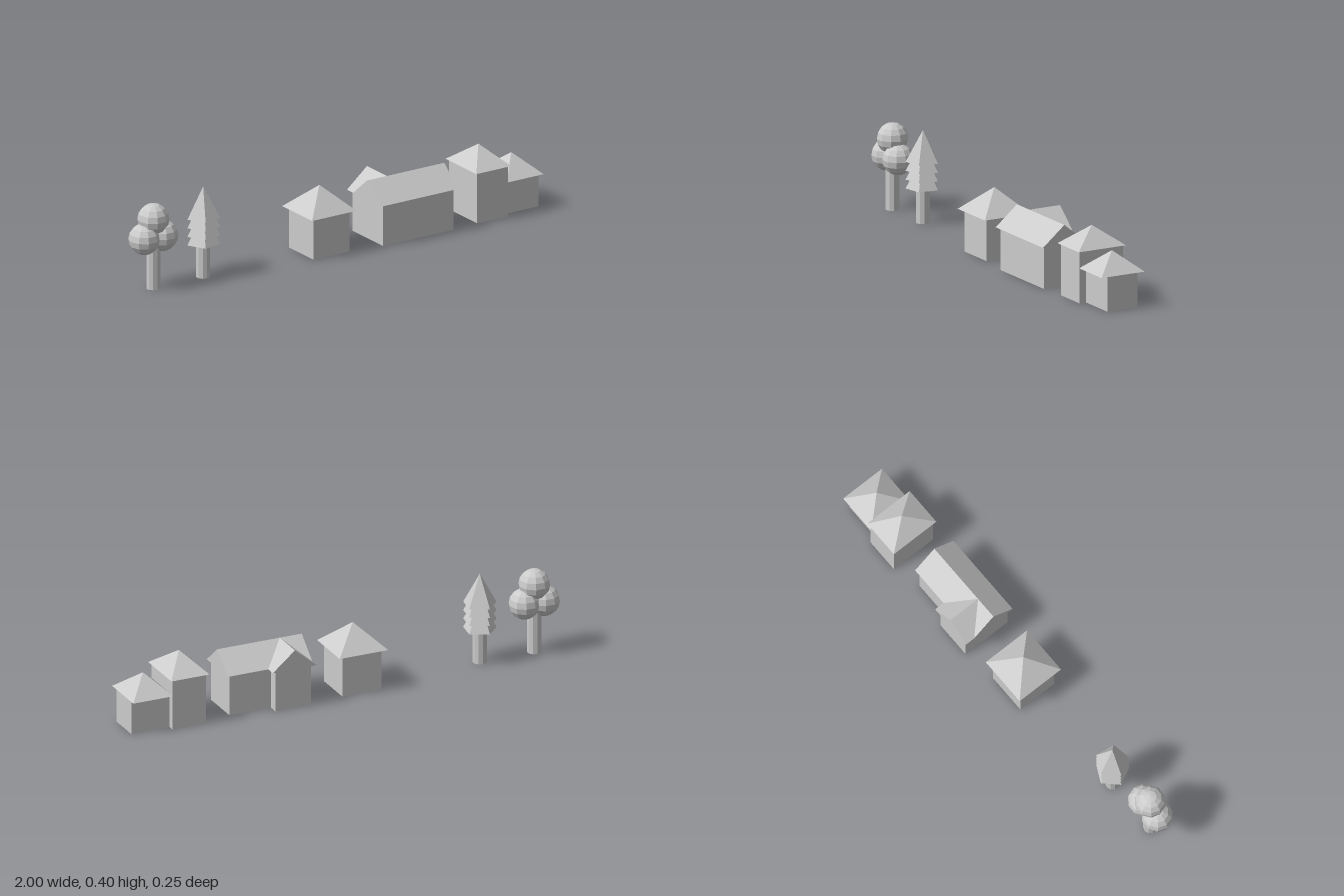
import * as THREE from 'three';

const material = new THREE.MeshStandardMaterial({ color: 0xcccccc, flatShading: true });

function add(parent, name, geometry, x = 0, y = 0, z = 0) {
  const mesh = new THREE.Mesh(geometry, material);
  mesh.name = name;
  mesh.position.set(x, y, z);
  parent.add(mesh);
  return mesh;
}

function section(parent, name, x = 0) {
  const group = new THREE.Group();
  group.name = name;
  group.position.x = x;
  parent.add(group);
  return group;
}

// Box given by its footprint, standing on the ground
function walls(parent, name, x0, x1, z0, z1, height) {
  add(parent, name, new THREE.BoxGeometry(x1 - x0, height, z1 - z0),
    (x0 + x1) / 2, height / 2, (z0 + z1) / 2);
}

// Four-sided pyramid roof
function pyramidRoof(parent, name, x0, x1, depth, eave, apex) {
  const geometry = new THREE.ConeGeometry(Math.SQRT1_2, apex - eave, 4).rotateY(Math.PI / 4);
  geometry.scale(x1 - x0, 1, depth);
  add(parent, name, geometry, (x0 + x1) / 2, (eave + apex) / 2, 0);
}

// Closed triangular prism with its ridge along z, starting at z = 0
function gable(span, rise, length) {
  const shape = new THREE.Shape();
  shape.moveTo(-span / 2, 0);
  shape.lineTo(span / 2, 0);
  shape.lineTo(0, rise);
  shape.closePath();
  return new THREE.ExtrudeGeometry(shape, { depth: length, bevelEnabled: false });
}

function trunk(parent, height) {
  add(parent, 'trunk', new THREE.CylinderGeometry(0.03, 0.03, height, 10), 0, height / 2, 0);
}

export function createModel() {
  const model = new THREE.Group();
  model.name = 'village';

  // Round tree: three faceted balls of leaves
  const roundTree = section(model, 'roundTree', -0.889);
  trunk(roundTree, 0.25);
  for (const [x, y] of [[-0.045, 0.225], [0.045, 0.225], [0, 0.305]]) {
    add(roundTree, 'foliageBall', new THREE.SphereGeometry(0.067, 10, 8), x, y, 0);
  }

  // Pine: identical five-sided cones stacked with overlap
  const pine = section(model, 'pineTree', -0.639);
  trunk(pine, 0.2);
  const coneHeight = 0.136;
  for (let i = 0; i < 4; i++) {
    const cone = new THREE.ConeGeometry(0.073, coneHeight, 5).rotateY(46 * Math.PI / 180);
    add(pine, 'foliageCone', cone, 0, 0.148 + i * 0.038 + coneHeight / 2, 0);
  }

  // Small square house
  const cottage = section(model, 'squareHouse');
  walls(cottage, 'walls', -0.146, 0.034, -0.09, 0.09, 0.182);
  pyramidRoof(cottage, 'pyramidRoof', -0.167, 0.056, 0.222, 0.182, 0.286);

  // Long house with a rear wing, ridges meeting at the same height
  const longHouse = section(model, 'longHouse');
  const eave = 0.181, rise = 0.085, ridgeZ = 0.022;
  walls(longHouse, 'mainWalls', 0.187, 0.542, -0.068, 0.113, eave);
  walls(longHouse, 'wingWalls', 0.187, 0.352, -0.111, 0, eave);
  add(longHouse, 'mainRoof', gable(0.206, rise, 0.388).rotateY(Math.PI / 2), 0.168, eave, ridgeZ);
  add(longHouse, 'wingRoof', gable(0.202, rise, ridgeZ + 0.126), 0.269, eave, -0.126);

  // Tall house with a lower annex at its side
  const tallHouse = section(model, 'tallHouse');
  walls(tallHouse, 'tallWalls', 0.666, 0.82, -0.104, 0.104, 0.223);
  pyramidRoof(tallHouse, 'tallRoof', 0.655, 0.83, 0.228, 0.223, 0.306);
  walls(tallHouse, 'annexWalls', 0.815, 0.995, -0.073, 0.073, 0.15);
  pyramidRoof(tallHouse, 'annexRoof', 0.815, 1.0, 0.208, 0.15, 0.235);

  return model;
}
